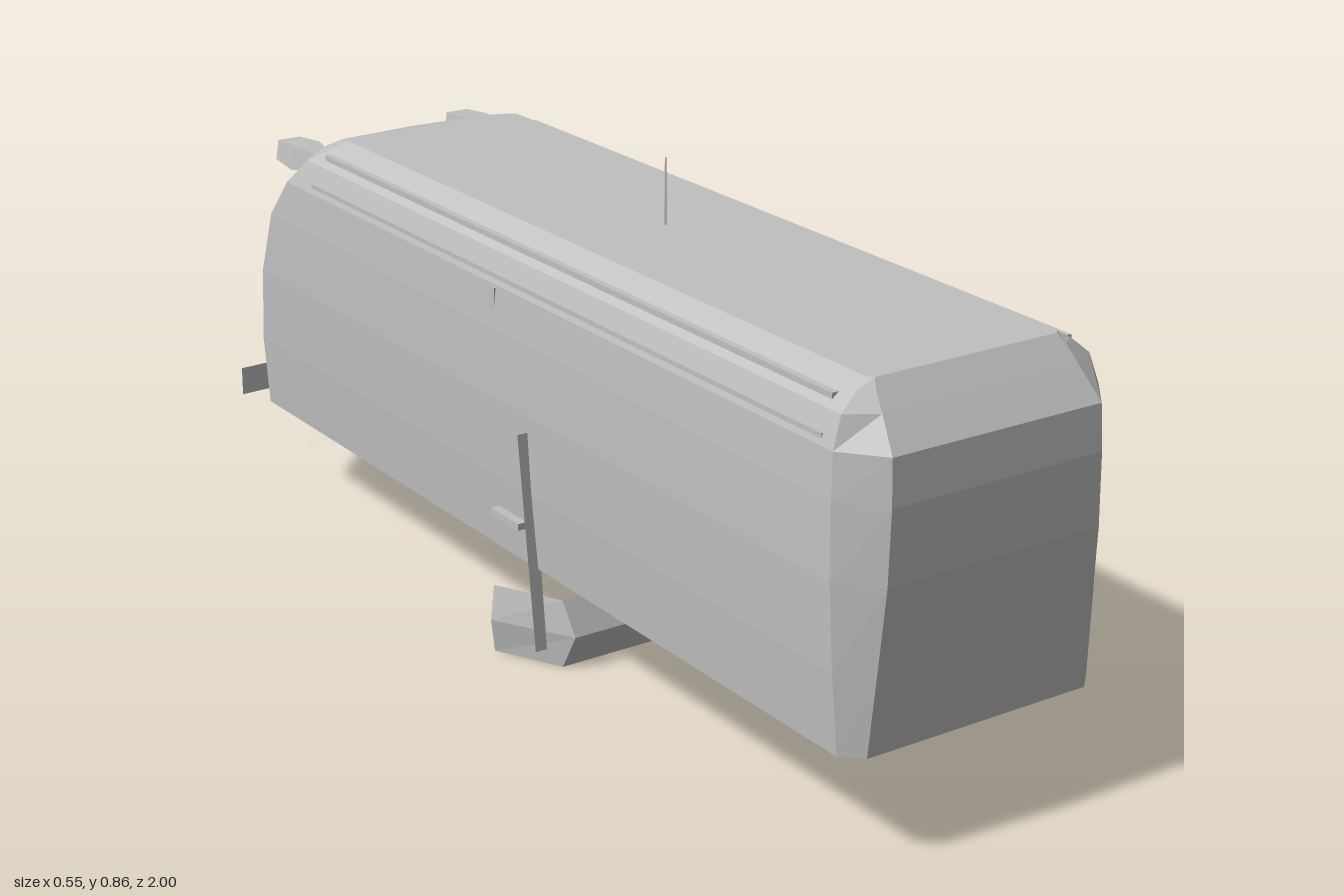
import * as THREE from 'three';
import { ConvexGeometry } from 'three/addons/geometries/ConvexGeometry.js';

const V = (x, y, z) => new THREE.Vector3(x, y, z);

// Faceted surface through rows of points; optionally closed around and capped
function loft(rows, closed = false) {
  const pos = [];
  const tri = (...p) => p.forEach((v) => pos.push(v.x, v.y, v.z));
  const n = rows[0].length;
  for (let i = 0; i < rows.length - 1; i++) {
    for (let j = 0; j < (closed ? n : n - 1); j++) {
      const k = (j + 1) % n;
      const a = rows[i][j], b = rows[i][k], c = rows[i + 1][k], d = rows[i + 1][j];
      tri(a, b, c);
      tri(a, c, d);
    }
  }
  if (closed) {
    const lo = rows[0], hi = rows[rows.length - 1];
    for (let j = 1; j < n - 1; j++) {
      tri(lo[0], lo[j + 1], lo[j]);
      tri(hi[0], hi[j], hi[j + 1]);
    }
  }
  const g = new THREE.BufferGeometry();
  g.setAttribute('position', new THREE.Float32BufferAttribute(pos, 3));
  g.computeVertexNormals();
  return g;
}

export function createModel() {
  const group = new THREE.Group();
  const grey = new THREE.MeshStandardMaterial({ color: 0xc0c0c0, side: THREE.DoubleSide, flatShading: true });
  grey.name = 'body grey';

  const add = (name, geometry, x = 0, y = 0, z = 0) => {
    const mesh = new THREE.Mesh(geometry, grey);
    mesh.name = name;
    mesh.position.set(x, y, z);
    group.add(mesh);
    return mesh;
  };
  const box = (name, w, h, d, x, y, z) => add(name, new THREE.BoxGeometry(w, h, d), x, y, z);

  // Bus shell: horizontal outlines from floor to roof
  // y, front half width, front z, half width, front corner z, rear corner z, rear shoulder z, rear middle z
  const outlines = [
    [0.187, 0.21, 0.98, 0.242, 0.95, -0.81, -0.905, -0.935],
    [0.32, 0.205, 0.99, 0.251, 0.945, -0.81, -0.91, -0.94],
    [0.46, 0.2, 1.0, 0.256, 0.94, -0.79, -0.89, -0.922],
    [0.58, 0.197, 1.0, 0.254, 0.935, -0.75, -0.845, -0.875],
    [0.655, 0.195, 0.995, 0.249, 0.93, -0.69, -0.79, -0.81],
    [0.705, 0.183, 0.955, 0.232, 0.925, -0.64, -0.71, -0.73],
    [0.732, 0.177, 0.932, 0.2, 0.918, -0.6, -0.645, -0.655],
    [0.746, 0.17, 0.92, 0.178, 0.91, -0.58, -0.59, -0.595],
  ];
  const rings = outlines.map(([y, fx, zf, w, zc, zrc, zrs, zr]) => {
    const half = [[fx, zf], [w, zc], [w, -0.45], [w, zrc], [Math.min(0.155, w), zrs]];
    const left = half.map(([x, z]) => V(x, y, z));
    const right = half.map(([x, z]) => V(-x, y, z)).reverse();
    return [...left, V(0, y, zr), ...right];
  });
  add('body', loft(rings, true), -0.003);

  // Shallow pan beneath the rear
  add('rearPan', new ConvexGeometry([
    V(0.24, 0.188, -0.58), V(-0.24, 0.188, -0.58), V(0.24, 0.19, -0.82), V(-0.24, 0.19, -0.82),
    V(0.045, 0.152, -0.6), V(-0.05, 0.152, -0.6), V(0.2, 0.175, -0.62), V(-0.2, 0.175, -0.62),
    V(0.12, 0.176, -0.82), V(-0.12, 0.176, -0.82), V(0.13, 0.19, -0.92), V(-0.13, 0.19, -0.92),
  ]));

  // Low bumper hung under the floor, an open folded sheet with swept ends
  const ridge = [[-0.275, 0.045], [-0.195, 0.185], [0.195, 0.185], [0.275, 0.045]];
  const edge = [[-0.265, 0.04], [-0.203, 0.158], [0.203, 0.158], [0.265, 0.04]];
  const row = (pts, y) => pts.map(([x, z]) => V(x, y, z));
  add('bumper', loft([row(edge, 0), row(ridge, 0.062), row(edge, 0.123)]));

  for (const s of [-1, 1]) {
    // Pointed bumper hangers
    add('bumperHanger', new ConvexGeometry([
      V(s * 0.085, 0.19, 0.14), V(s * 0.118, 0.19, 0.14), V(s * 0.1, 0.19, 0.168),
      V(s * 0.085, 0.12, 0.14), V(s * 0.118, 0.12, 0.14), V(s * 0.1, 0.12, 0.175),
      V(s * 0.1, 0.065, 0.183),
    ]));

    // Side marker plates and window posts
    box('sideMarker', 0.022, 0.012, 0.085, s * 0.256, 0.258, 0.08);
    box('windowPost', 0.006, 0.17, 0.016, s * 0.252, 0.565, 0.03);

    // Gutters along the roof
    box('roofRail', 0.012, 0.012, 1.48, s * 0.218, 0.718, 0.15);
    box('gutter', 0.012, 0.008, 1.5, s * 0.243, 0.668, 0.15);

    // Tapered mirrors projecting over the rear slope
    const end = (z, cy, hw, hh) => [
      V(s * 0.183 - hw, cy - hh, z), V(s * 0.183 + hw, cy - hh, z),
      V(s * 0.183 + hw * 0.8, cy + hh, z), V(s * 0.183 - hw * 0.8, cy + hh, z),
    ];
    add('mirror', new ConvexGeometry([
      ...end(-0.81, 0.682, 0.028, 0.018), ...end(-0.74, 0.683, 0.033, 0.023), ...end(-0.66, 0.69, 0.015, 0.012),
    ]));
  }

  // Roof aerial
  add('aerial', new THREE.CylinderGeometry(0.0015, 0.002, 0.12, 5), 0, 0.8, 0.16);

  // Loose bent strip trailing from the rear corner
  const bend = [[0.235, 0.19, -0.905], [0.01, 0.14, -0.997], [-0.21, 0.135, -1.0]];
  add('rearStrip', loft([
    bend.map(([x, y, z]) => V(x, y, z)),
    bend.map(([x, y, z]) => V(x, y + 0.055, z)),
  ]));

  // Loose upright strip at the right side
  add('sideStrip', loft([
    [V(-0.255, 0.04, 0.155), V(-0.233, 0.04, 0.155)],
    [V(-0.277, 0.43, 0.14), V(-0.25, 0.43, 0.14)],
  ]));

  return group;
}
